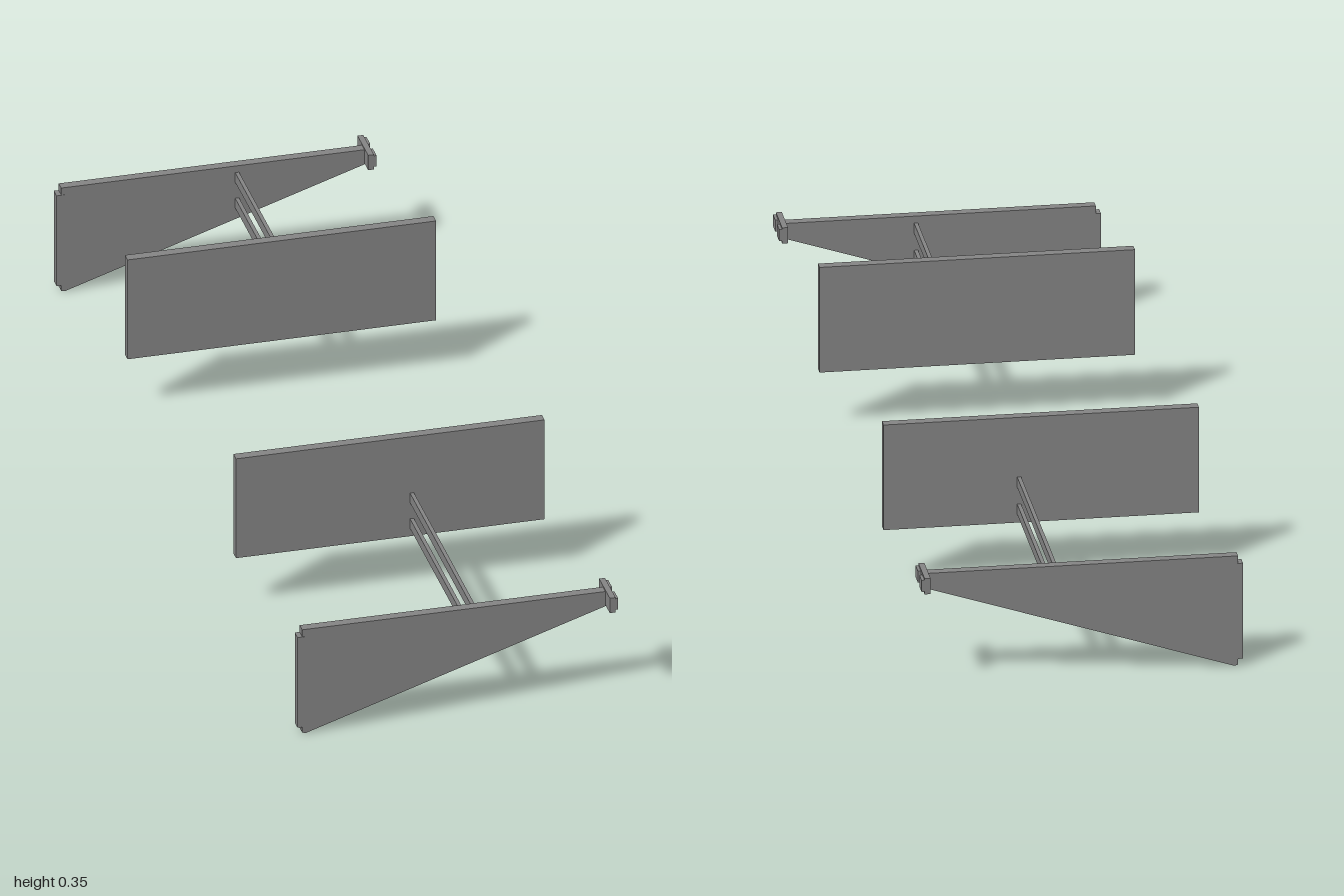
import * as THREE from 'three';

const grey = new THREE.MeshStandardMaterial({ color: 0x868686, flatShading: true });

export function createModel() {
  const model = new THREE.Group();

  // tapered end plate outline: tall at -x, narrowing towards +x
  const outline = new THREE.Shape([
    [-0.32, 0.002], [-0.313, 0], [0.322, 0.208], [0.322, 0.238], [-0.32, 0.238],
  ].map(([x, y]) => new THREE.Vector2(x, y)));
  const plateGeo = new THREE.ExtrudeGeometry(outline, { depth: 0.02, bevelEnabled: false });
  plateGeo.translate(0, 0, -0.01);

  // the two halves mirror each other front to back
  for (const side of [1, -1]) {
    const half = new THREE.Group();
    half.name = side > 0 ? 'frontWing' : 'backWing';
    model.add(half);

    const add = (name, geo, x, y, z) => {
      const mesh = new THREE.Mesh(geo, grey);
      mesh.name = name;
      mesh.position.set(x, y, side * z);
      half.add(mesh);
    };
    const box = (name, w, h, d, x, y, z) => add(name, new THREE.BoxGeometry(w, h, d), x, y, z);

    add('endPlate', plateGeo, 0, 0, 0.955);
    box('innerPanel', 0.642, 0.228, 0.021, 0.001, 0.238, 0.43);

    // thin flat struts joining the two panels
    for (const y of [0.212, 0.153]) box('strut', 0.008, 0.022, 0.515, 0.046, y, 0.6925);

    // edge strip capping the tall end
    box('edgeStrip', 0.017, 0.207, 0.022, -0.3215, 0.1185, 0.955);

    // bracket across the narrow end, with a raised pad at each end
    box('bracket', 0.012, 0.034, 0.085, 0.317, 0.224, 0.9575);
    for (const z of [0.932, 0.983]) box('bracketPad', 0.006, 0.025, 0.03, 0.326, 0.2245, z);
  }
  return model;
}
